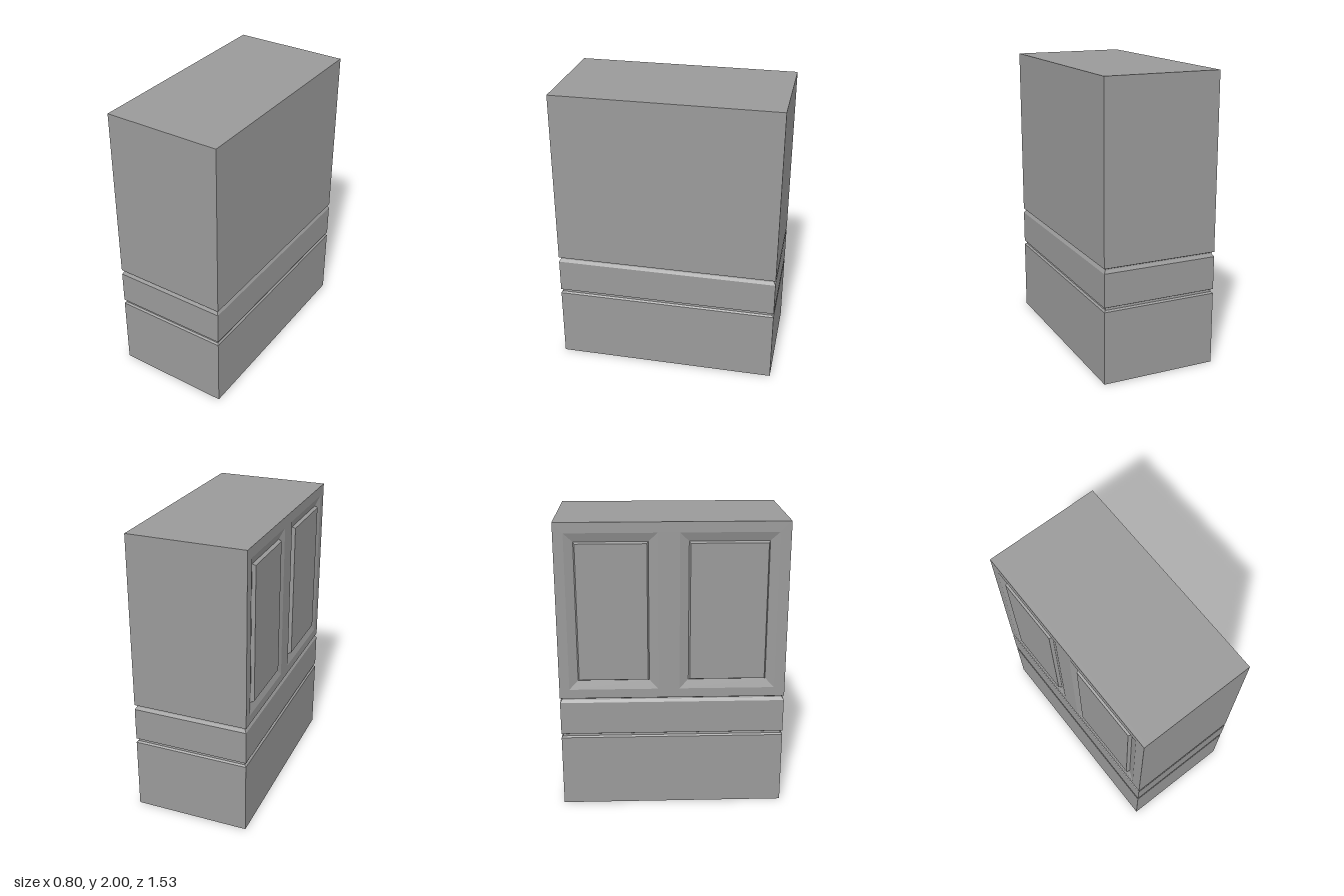
import * as THREE from 'three';

const HX = 0.401, HZ = 0.765;          // half width and half depth
const GROOVE_TOP = 0.797, TOP = 2;
const FRAME = 0.024;                   // thickness of the panelled side wall
const material = new THREE.MeshStandardMaterial({ color: 0x9a9a9a, flatShading: true });

// Joins four-cornered loops into a flat-sided solid; the last loop is capped.
function loft(loops, capStart) {
  const pos = [];
  const quad = (a, b, c, d) => [a, b, c, a, c, d].forEach(p => pos.push(...p));
  for (let i = 0; i + 1 < loops.length; i++) {
    for (let j = 0; j < 4; j++) {
      const k = (j + 1) % 4;
      quad(loops[i][j], loops[i][k], loops[i + 1][k], loops[i + 1][j]);
    }
  }
  quad(...loops[loops.length - 1]);
  if (capStart) quad(...[...loops[0]].reverse());
  const geometry = new THREE.BufferGeometry();
  geometry.setAttribute('position', new THREE.Float32BufferAttribute(pos, 3));
  geometry.computeVertexNormals();
  return geometry;
}

// Horizontal rectangle at height y, drawn in from the walls by inset.
function level(y, inset) {
  const x = HX - inset, z = HZ - inset;
  return [[-x, y, z], [x, y, z], [x, y, -z], [-x, y, -z]];
}

// Upright rectangle on the -x side, grown outwards by margin.
function upright(r, x, margin) {
  const z0 = r.z0 - margin, z1 = r.z1 + margin, y0 = r.y0 - margin, y1 = r.y1 + margin;
  return [[x, y0, z0], [x, y0, z1], [x, y1, z1], [x, y1, z0]];
}

export function createModel() {
  const group = new THREE.Group();
  const add = (name, geometry) => {
    const mesh = new THREE.Mesh(geometry, material);
    mesh.name = name;
    group.add(mesh);
  };

  // Base and middle band with the two grooves running all round
  const profile = [
    [0, 0], [0.503, 0], [0.513, 0.012], [0.527, 0.014], [0.534, 0],
    [0.763, 0], [0.782, 0.012], [0.79, 0.014], [GROOVE_TOP, 0.002],
  ];
  add('groovedBase', loft(profile.map(([y, inset]) => level(y, inset)), true));

  // Upper block
  const height = TOP - GROOVE_TOP;
  const block = new THREE.BoxGeometry(2 * HX - FRAME, height, 2 * HZ);
  block.translate(FRAME / 2, GROOVE_TOP + height / 2, 0);
  add('upperBlock', block);

  // Side wall with an opening for each panel
  const panels = [
    { z0: -0.628, z1: -0.165, y0: 0.93, y1: 1.86 },
    { z0: 0.118, z1: 0.622, y0: 0.93, y1: 1.86 },
  ];
  const margin = 0.07;
  const wall = new THREE.Shape([
    new THREE.Vector2(-HZ, GROOVE_TOP), new THREE.Vector2(HZ, GROOVE_TOP),
    new THREE.Vector2(HZ, TOP), new THREE.Vector2(-HZ, TOP),
  ]);
  for (const p of panels) {
    const corners = upright(p, 0, margin).map(([, y, z]) => new THREE.Vector2(z, y));
    wall.holes.push(new THREE.Path(corners.reverse()));
  }
  const frame = new THREE.ExtrudeGeometry(wall, { depth: FRAME, bevelEnabled: false });
  frame.rotateY(-Math.PI / 2);
  frame.translate(-HX + FRAME, 0, 0);
  add('panelFrame', frame);

  // Shallow sloping recess around a slightly proud flat panel
  panels.forEach((p, i) => {
    add(i ? 'frontSidePanel' : 'backSidePanel', loft([
      upright(p, -HX, margin),
      upright(p, -HX + 0.02, 0.01),
      upright(p, -HX - 0.002, 0),
    ], false));
  });

  return group;
}
